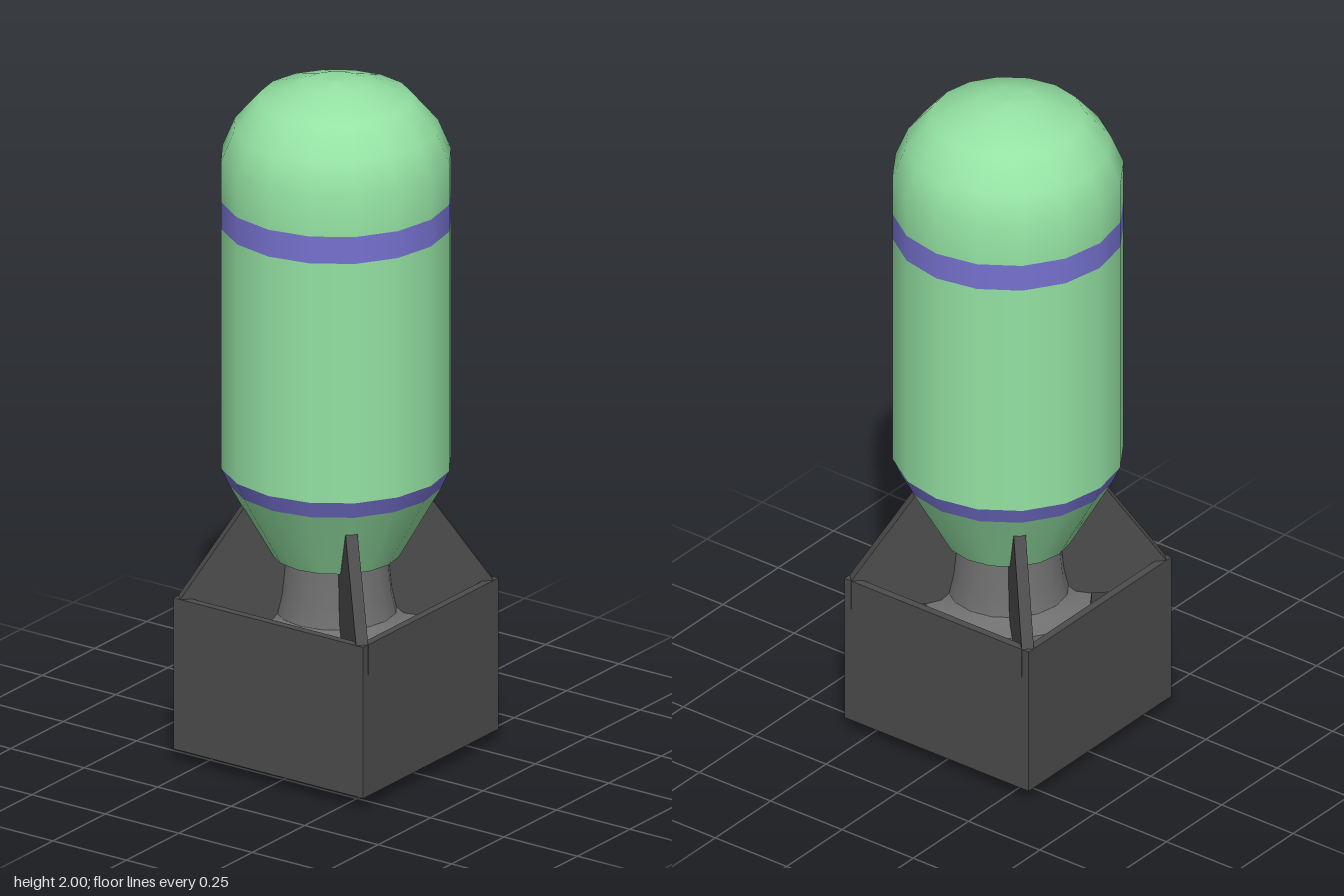
import * as THREE from 'three';

const green = new THREE.MeshStandardMaterial({ color: 0x94e2a3 });
const purple = new THREE.MeshStandardMaterial({ color: 0x7672d0 });
const dark = new THREE.MeshStandardMaterial({ color: 0x4c4c4c });
const grey = new THREE.MeshStandardMaterial({ color: 0x707070 });

export function createModel() {
  const model = new THREE.Group();
  model.name = 'finnedBomb';

  const add = (name, geometry, material) => {
    const mesh = new THREE.Mesh(geometry, material);
    mesh.name = name;
    model.add(mesh);
    return mesh;
  };
  // Turned part from [radius, height] pairs, 16 sides
  const turn = (name, material, ...points) =>
    add(name, new THREE.LatheGeometry(points.map(p => new THREE.Vector2(...p)), 16), material);

  // Casing, from the tail cone up to the rounded nose
  const R = 0.323;
  turn('casingBase', green, [0, 0.6], [0.18, 0.6]);
  turn('tailCone', green, [0.18, 0.6], [0.3, 0.815]);
  turn('lowerBand', purple, [0.3, 0.815], [R, 0.867]);
  turn('casing', green, [R, 0.867], [R, 1.58]);
  turn('upperBand', purple, [R, 1.58], [R, 1.66]);
  turn('nose', green, [R, 1.66], [R, 1.78], [0.287, 1.866], [0.215, 1.95], [0.087, 1.994], [0, 2]);

  // Neck flaring into an open tail pipe
  turn('neck', grey, [0.17, 0.43], [0.157, 0.49], [0.145, 0.61]);
  turn('neckFlare', grey, [0.235, 0.4], [0.19, 0.41], [0.17, 0.43]);
  turn('pipeOuter', grey, [0.235, 0], [0.235, 0.4]);
  turn('pipeRim', dark, [0.195, 0], [0.235, 0]);
  turn('pipeInner', grey, [0.195, 0.38], [0.195, 0]);
  turn('pipeEnd', grey, [0, 0.38], [0.195, 0.38]);

  // Square open tail box
  const square = (h, Type) => new Type([[-h, -h], [h, -h], [h, h], [-h, h]].map(p => new THREE.Vector2(...p)));
  const frame = square(R, THREE.Shape);
  frame.holes.push(square(0.3, THREE.Path));
  const box = new THREE.ExtrudeGeometry(frame, { depth: 0.45, bevelEnabled: false });
  box.rotateX(-Math.PI / 2).translate(0, 0.04, 0);
  add('tailBox', box, dark);

  // Four diagonal fins joining the box corners to the casing
  const outline = new THREE.Shape(
    [[0.1, 0.4], [0.44, 0.4], [0.44, 0.49], [0.262, 0.75], [0.1, 0.75]].map(p => new THREE.Vector2(...p)));
  const fin = new THREE.ExtrudeGeometry(outline, { depth: 0.034, bevelEnabled: false });
  fin.translate(0, 0, -0.017);
  for (let i = 0; i < 4; i++) {
    add('fin' + (i + 1), fin, dark).rotation.y = Math.PI / 4 + i * Math.PI / 2;
  }
  return model;
}
